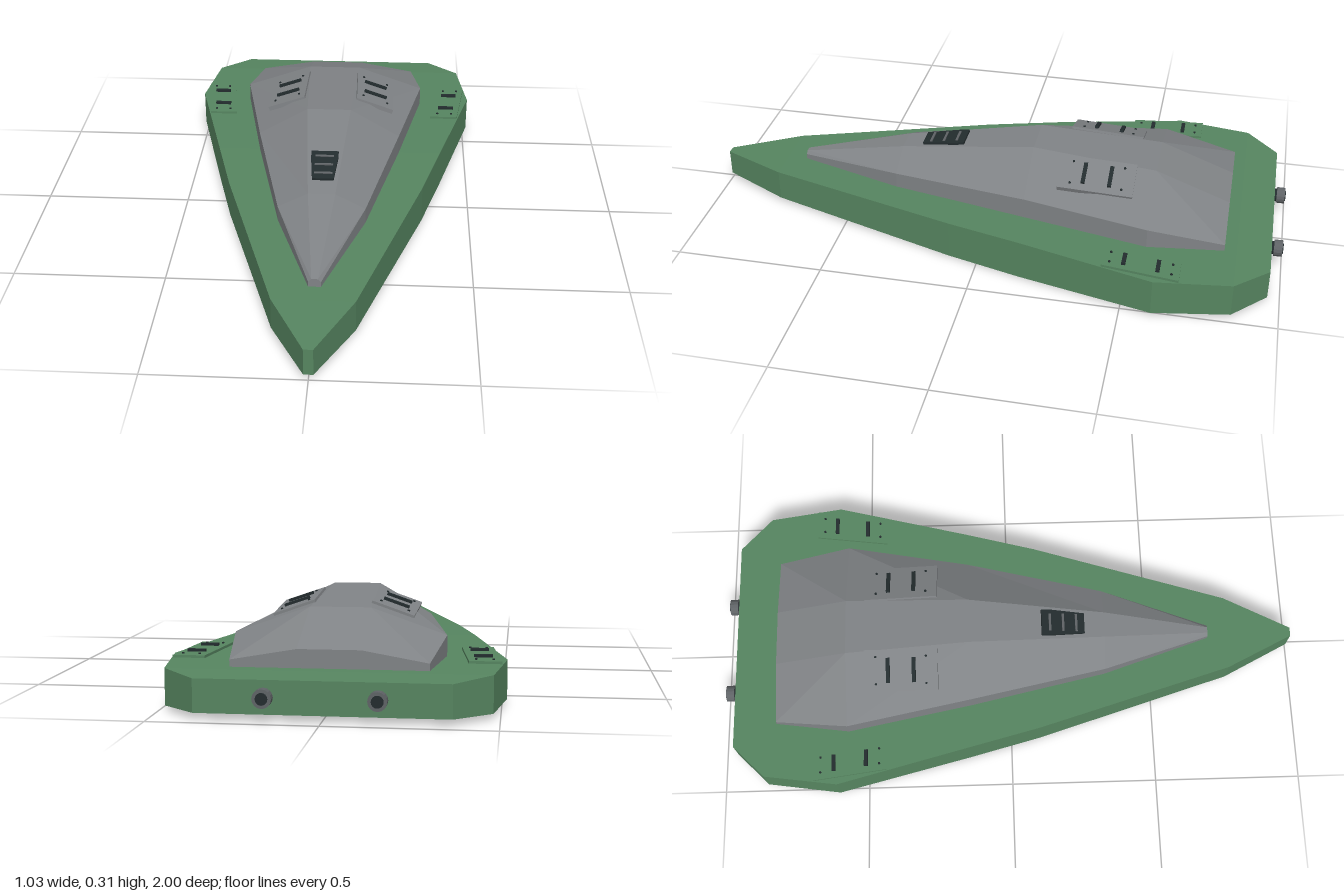
import * as THREE from 'three';

const mat = (name, color, side = THREE.FrontSide) => {
  const m = new THREE.MeshStandardMaterial({ color, side, flatShading: true });
  m.name = name;
  return m;
};

// Skins a list of rings (front to back, each counter-clockwise seen from the front)
function loft(rings) {
  const n = rings[0].length, idx = [];
  for (let i = 0; i < rings.length - 1; i++) {
    for (let j = 0; j < n; j++) {
      const a = i * n + j, b = i * n + (j + 1) % n, c = b + n, d = a + n;
      if (j < n / 2) idx.push(a, d, b, b, d, c);
      else idx.push(a, d, c, a, c, b);
    }
  }
  const last = (rings.length - 1) * n;
  for (let k = 1; k < n - 1; k++) idx.push(0, k, k + 1, last, last + k + 1, last + k);
  const g = new THREE.BufferGeometry();
  g.setAttribute('position', new THREE.Float32BufferAttribute(rings.flat(2), 3));
  g.setIndex(idx);
  const flat = g.toNonIndexed();
  flat.computeVertexNormals();
  return flat;
}

// Mirrors a half profile of [x, y] points into a full ring at z
const ring = (z, half) => [
  ...half.map(([x, y]) => [x, y, z]),
  ...half.slice().reverse().map(([x, y]) => [-x, y, z]),
];

export function createModel() {
  const model = new THREE.Group();
  model.name = 'wedgeCraft';
  const green = mat('hullGreen', 0x568560);
  const grey = mat('cabinGrey', 0x808386);
  const dark = mat('darkMetal', 0x232c2e);
  const steel = mat('nozzleSteel', 0x5f6366);

  const add = (parent, name, geometry, material, x = 0, y = 0, z = 0) => {
    const mesh = new THREE.Mesh(geometry, material);
    mesh.name = name;
    mesh.position.set(x, y, z);
    parent.add(mesh);
    return mesh;
  };

  // Hull: z, half width, bottom, top
  const hull = add(model, 'hull', loft([
    [1.0, 0.015, 0.02, 0.11],
    [0.77, 0.13, 0.014, 0.121],
    [0.1, 0.335, 0.002, 0.133],
    [-0.15, 0.4, 0, 0.136],
    [-0.6, 0.515, 0.01, 0.131],
    [-0.85, 0.48, 0.016, 0.128],
    [-0.96, 0.37, 0.02, 0.12],
  ].map(([z, x, b, t]) => ring(z, [[x, b], [x, t]]))), green);

  // Cabin: z, wall half width, shoulder height, roof half width, roof height
  const cabin = add(model, 'cabin', loft([
    [0.7, 0.02, 0.14, 0.01, 0.15],
    [0.33, 0.145, 0.182, 0.045, 0.234],
    [-0.14, 0.25, 0.206, 0.077, 0.307],
    [-0.56, 0.33, 0.196, 0.095, 0.278],
    [-0.81, 0.295, 0.15, 0.095, 0.185],
  ].map(([z, w, s, r, t]) => ring(z, [[w, 0.11], [w, s], [r, t]]))), grey);

  // Makes a group lying on a surface at (x, z), its y axis along the face normal
  const ray = new THREE.Raycaster();
  function mount(name, surface, x, z) {
    ray.set(new THREE.Vector3(x, 2, z), new THREE.Vector3(0, -1, 0));
    const hit = ray.intersectObject(surface)[0];
    const up = hit.face.normal.clone();
    const right = new THREE.Vector3().crossVectors(up, new THREE.Vector3(0, 0, 1)).normalize();
    const front = new THREE.Vector3().crossVectors(right, up);
    const g = new THREE.Group();
    g.name = name;
    g.position.copy(hit.point);
    g.quaternion.setFromRotationMatrix(new THREE.Matrix4().makeBasis(right, up, front));
    model.add(g);
    return g;
  }

  // Access panel with two handle bars and four bolts, sheared along the hull edge
  function accessPanel(name, surface, material, o) {
    const g = mount(name, surface, o.x, o.z);
    const shear = (z) => o.shear * z;
    const plate = new THREE.BoxGeometry(o.w, 0.016, o.l);
    const p = plate.attributes.position;
    for (let i = 0; i < p.count; i++) p.setX(i, p.getX(i) + shear(p.getZ(i)));
    plate.computeVertexNormals();
    add(g, 'panelPlate', plate, material);
    for (const s of [-1, 1]) {
      const zb = s * o.barZ;
      add(g, 'handleBar', new THREE.BoxGeometry(o.bar, 0.014, 0.013), dark, shear(zb), 0.009, zb);
      for (const t of [-1, 1]) {
        const zd = s * o.boltZ;
        add(g, 'bolt', new THREE.CylinderGeometry(0.004, 0.004, 0.006, 8), dark,
          shear(zd) + t * o.boltX, 0.009, zd);
      }
    }
  }

  for (const s of [-1, 1]) {
    const side = s > 0 ? 'left' : 'right';
    accessPanel(side + 'CabinPanel', cabin, grey, {
      x: s * 0.157, z: -0.37, w: 0.14, l: 0.25, shear: 0,
      bar: 0.085, barZ: 0.044, boltX: 0.046, boltZ: 0.086,
    });
    accessPanel(side + 'DeckPanel', hull, green, {
      x: s * 0.435, z: -0.555, w: 0.1, l: 0.25, shear: -0.13 * s,
      bar: 0.057, barZ: 0.055, boltX: 0.026, boltZ: 0.1,
    });

    // Rear nozzle: neck, collar and dark mouth
    const nozzle = new THREE.Group();
    nozzle.name = side + 'Nozzle';
    nozzle.position.set(s * 0.163, 0.072, 0);
    model.add(nozzle);
    const tube = (name, r, len, z, m) =>
      add(nozzle, name, new THREE.CylinderGeometry(r, r, len, 16).rotateX(Math.PI / 2), m, 0, 0, z);
    tube('neck', 0.022, 0.04, -0.96, dark);
    tube('collar', 0.028, 0.028, -0.983, steel);
    tube('mouth', 0.018, 0.006, -0.997, dark);
  }

  // Front vent: tapered dark plate with three slats
  const vent = mount('frontVent', cabin, 0, 0.185);
  const outline = new THREE.Shape();
  outline.moveTo(-0.036, -0.075);
  outline.lineTo(0.036, -0.075);
  outline.lineTo(0.046, 0.04);
  outline.lineTo(0.046, 0.075);
  outline.lineTo(-0.046, 0.075);
  outline.lineTo(-0.046, 0.04);
  const ventGeo = new THREE.ExtrudeGeometry(outline, { depth: 0.012, bevelEnabled: false });
  add(vent, 'ventPlate', ventGeo.rotateX(-Math.PI / 2), dark, 0, -0.004, 0);
  for (const z of [-0.046, 0, 0.046]) {
    add(vent, 'ventSlat', new THREE.BoxGeometry(0.062, 0.006, 0.008), steel, 0, 0.008, z);
  }
  return model;
}
